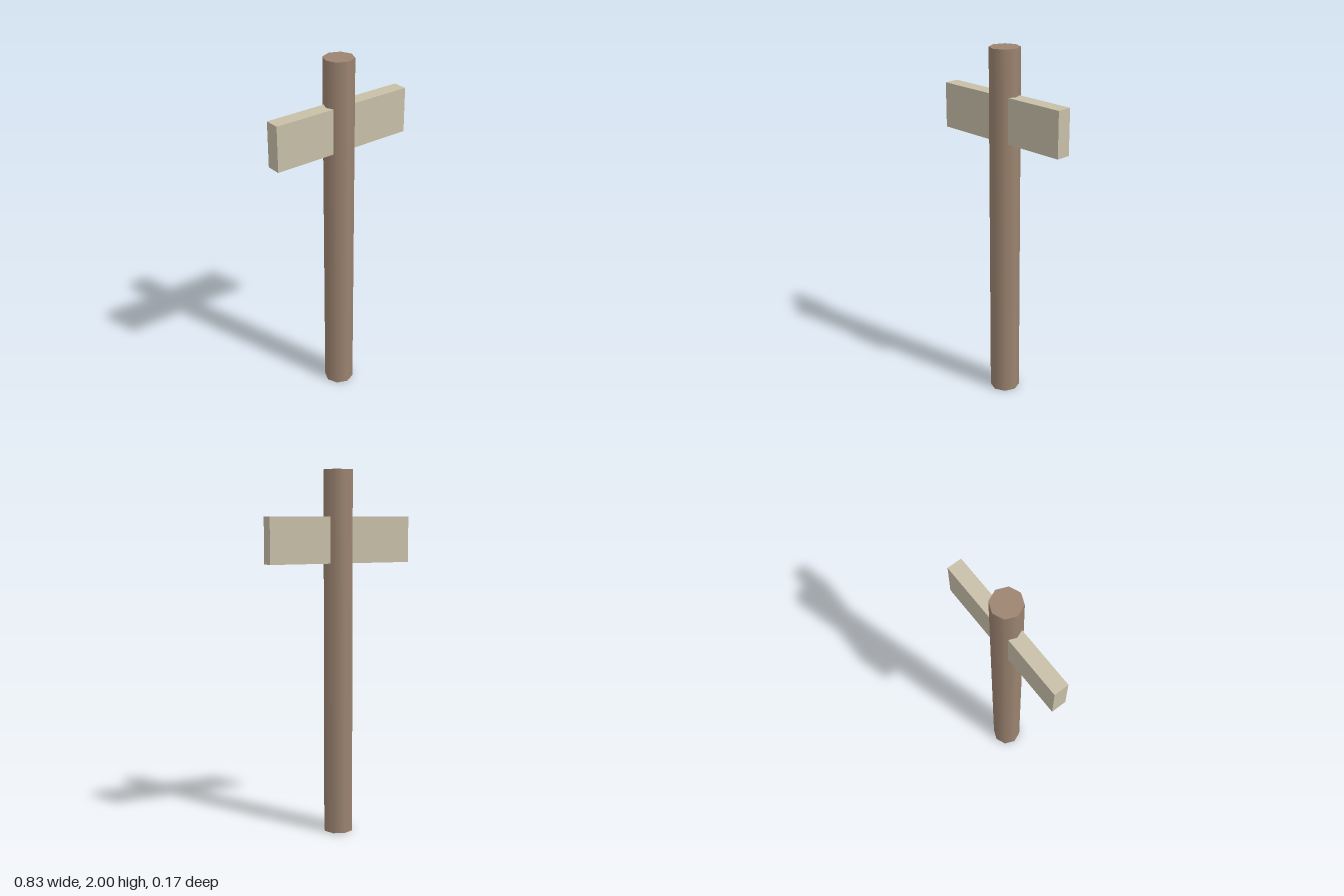
import * as THREE from 'three';

export function createModel() {
  const model = new THREE.Group();
  model.name = 'signpost';

  const add = (name, geometry, color, y) => {
    const mesh = new THREE.Mesh(geometry, new THREE.MeshStandardMaterial({ color }));
    mesh.name = name;
    mesh.position.y = y;
    model.add(mesh);
  };

  // Eight-sided post, smooth around its sides
  add('post', new THREE.CylinderGeometry(0.083, 0.083, 2, 8), 0x9c8470, 1);

  // Board passing through the post near its top
  add('board', new THREE.BoxGeometry(0.83, 0.25, 0.083), 0xc8bfa8, 1.625);

  return model;
}
